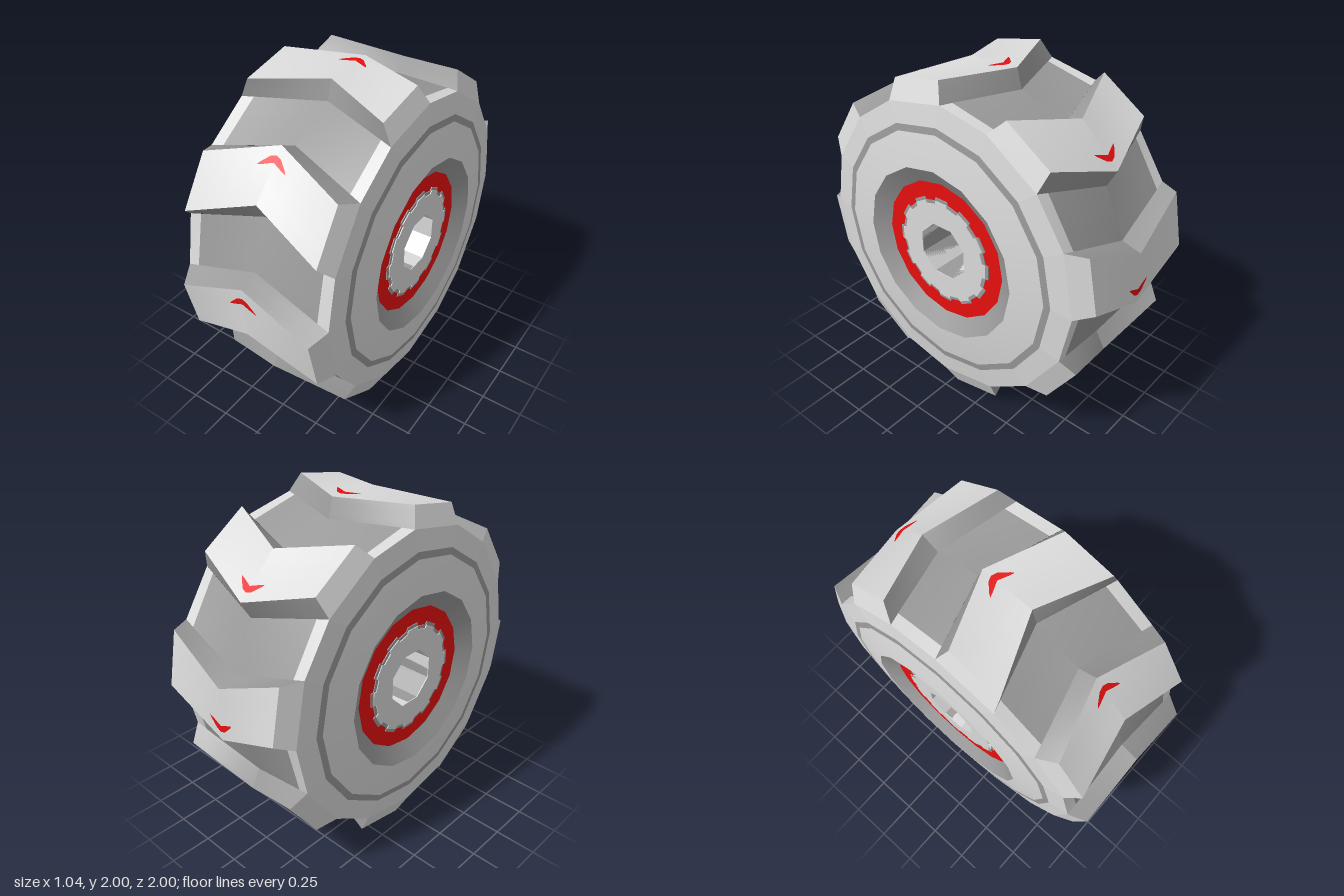
import * as THREE from 'three';
import { mergeGeometries } from 'three/addons/utils/BufferGeometryUtils.js';

const RAD = Math.PI / 180;
const LUGS = 8, STEP = 45, FLOOR = 0.893, PHASE = 0.4;

function material(name, color) {
  const m = new THREE.MeshStandardMaterial({ color });
  m.name = name;
  return m;
}

// Bilinear four-cornered patch, corners counter-clockwise from outside
function patch(a, b, c, d, flip, n = 4) {
  if (flip) [b, d] = [d, b];
  const pos = [], index = [];
  for (let j = 0; j <= n; j++) for (let i = 0; i <= n; i++) {
    const p = a.clone().lerp(b, i / n).lerp(d.clone().lerp(c, i / n), j / n);
    pos.push(p.x, p.y, p.z);
  }
  for (let j = 0; j < n; j++) for (let i = 0; i < n; i++) {
    const k = j * (n + 1) + i;
    index.push(k, k + 1, k + n + 2, k, k + n + 2, k + n + 1);
  }
  const g = new THREE.BufferGeometry();
  g.setAttribute('position', new THREE.Float32BufferAttribute(pos, 3));
  g.setIndex(index);
  g.computeVertexNormals();
  return g;
}

// Sixteen-sided band on one face of the wheel; points are [radius, x], outer to inner
function band(points, s) {
  const pts = points.map(([r, x]) => new THREE.Vector2(r, s * x));
  if (s < 0) pts.reverse();
  return new THREE.LatheGeometry(pts, 16, -PHASE * RAD, Math.PI * 2).rotateZ(-Math.PI / 2);
}

// Toothed disc through the wheel with an octagonal bore
function toothedHub(high, low, width) {
  const pts = [], teeth = 12;
  for (let i = 0; i < teeth; i++) {
    for (const [off, r] of [[-8.5, low], [-7.5, high], [7.5, high], [8.5, low]]) {
      const a = (i * 360 / teeth + off) * RAD;
      pts.push(new THREE.Vector2(r * Math.cos(a), r * Math.sin(a)));
    }
  }
  const shape = new THREE.Shape(pts);
  const bore = [];
  for (let i = 0; i < 8; i++) {
    const a = (22.5 + i * 45) * RAD;
    bore.push(new THREE.Vector2(0.173 * Math.cos(a), 0.173 * Math.sin(a)));
  }
  shape.holes.push(new THREE.Path(bore));
  return new THREE.ExtrudeGeometry(shape, { depth: width, bevelEnabled: false })
    .translate(0, 0, -width / 2).rotateY(Math.PI / 2);
}

export function createModel() {
  const light = material('light grey', 0xdadada);
  const grey = material('mid grey', 0x9a9a9a);
  const red = material('red', 0xec1010);

  const model = new THREE.Group();
  model.name = 'tractorWheel';
  const wheel = new THREE.Group();
  wheel.name = 'wheel';
  wheel.position.y = 1;
  model.add(wheel);

  const parts = { lugTops: [], lugWalls: [], treadFloor: [], treadShoulder: [], outerSidewall: [], lugMarks: [] };

  for (let k = 0; k < LUGS; k++) for (const s of [1, -1]) {
    const P = (x, r, deg) => {
      const a = (deg + k * STEP) * RAD;
      return new THREE.Vector3(s * x, r * Math.sin(a), r * Math.cos(a));
    };
    const add = (part, a, b, c, d) => parts[part].push(patch(a, b, c, d, s < 0));

    // Half of a chevron lug: outer corners, then corners on the tread floor
    const cLo = P(0, 1, -10.3), cHi = P(0, 1, 8.1);
    const eLo = P(0.42, 1, -20.4), eHi = P(0.42, 1, -1.6);
    const bcLo = P(0, FLOOR, -13.7), bcHi = P(0, FLOOR, 11.3);
    const beLo = P(0.47, FLOOR, -23.2), beHi = P(0.47, FLOOR, 1.5);
    add('lugTops', cLo, eLo, eHi, cHi);
    add('lugTops', eLo, beLo, beHi, eHi);
    add('lugWalls', cHi, eHi, beHi, bcHi);
    add('lugWalls', bcLo, beLo, eLo, cLo);

    // Floor between this lug and the next, with a light shoulder strip
    const mLo = P(0.4, FLOOR, 2.96), mHi = P(0.4, FLOOR, 23.2);
    const nextC = P(0, FLOOR, 31.3), nextE = P(0.47, FLOOR, 21.8);
    add('treadFloor', bcHi, mLo, mHi, nextC);
    add('treadShoulder', mLo, beHi, nextE, mHi);

    // Sidewall from the shoulder down to the grey ring
    const r0 = P(0.487, 0.77, PHASE - 22.5), r1 = P(0.487, 0.77, PHASE), r2 = P(0.487, 0.77, PHASE + 22.5);
    add('outerSidewall', beLo, r0, r1, beHi);
    add('outerSidewall', beHi, r1, r2, nextE);

    // Red chevron laid on the lug top
    const out = P(0, 0.006, -3);
    const onLug = (x, y) => {
      const u = x / 0.42;
      const lo = cLo.clone().lerp(eLo, u), hi = cHi.clone().lerp(eHi, u);
      const yLo = THREE.MathUtils.lerp(Math.sin(-10.3 * RAD), Math.sin(-20.4 * RAD), u);
      const yHi = THREE.MathUtils.lerp(Math.sin(8.1 * RAD), Math.sin(-1.6 * RAD), u);
      return lo.lerp(hi, (y - yLo) / (yHi - yLo)).add(out);
    };
    add('lugMarks', onLug(0, 0.046), onLug(0.055, 0.022), onLug(0.032, 0.073), onLug(0, 0.085));
    add('lugMarks', onLug(0.055, 0.022), onLug(0.088, 0.01), onLug(0.078, 0.026), onLug(0.032, 0.073));
  }

  const mats = {
    lugTops: light, lugWalls: grey, treadFloor: grey,
    treadShoulder: light, outerSidewall: light, lugMarks: red,
  };
  const addMesh = (name, geometry, mat) => {
    const mesh = new THREE.Mesh(geometry, mat);
    mesh.name = name;
    wheel.add(mesh);
  };
  for (const name in parts) addMesh(name, mergeGeometries(parts[name]), mats[name]);

  // Concentric bands on both faces
  const bands = [
    ['sidewallRing', grey, [[0.77, 0.487], [0.73, 0.492]]],
    ['innerSidewall', light, [[0.73, 0.492], [0.63, 0.508], [0.53, 0.52]]],
    ['rimBowl', grey, [[0.53, 0.52], [0.43, 0.46]]],
    ['rimRing', red, [[0.43, 0.46], [0.29, 0.46]]],
  ];
  for (const [name, mat, pts] of bands) {
    addMesh(name, mergeGeometries([band(pts, 1), band(pts, -1)]), mat);
  }

  // Hub with a toothed grey border
  addMesh('hubBorder', toothedHub(0.338, 0.318, 0.93), grey);
  addMesh('hub', toothedHub(0.318, 0.298, 0.94), light);

  return model;
}
